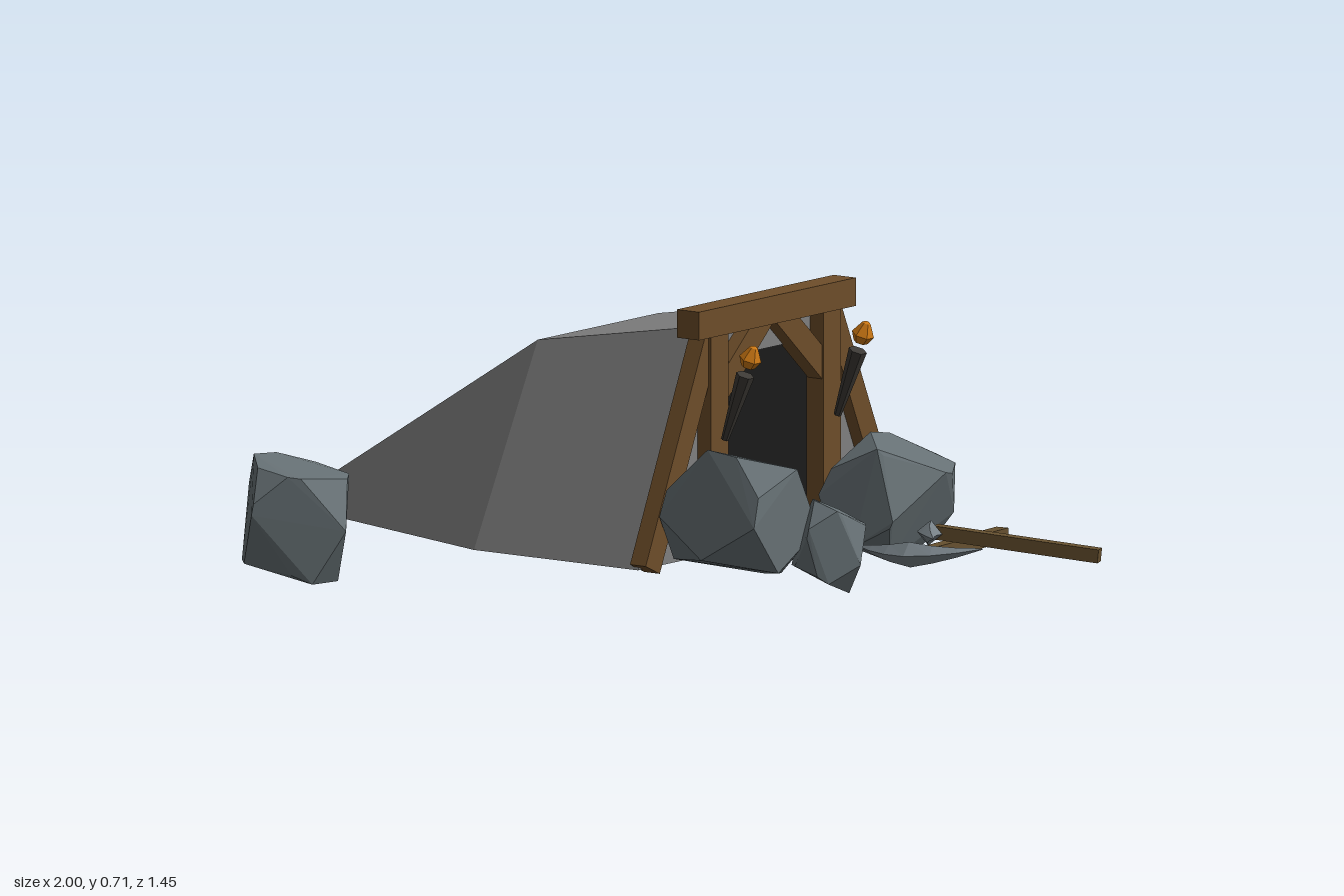
import * as THREE from 'three';
import { ConvexGeometry } from 'three/addons/geometries/ConvexGeometry.js';

const mat = (color, side = THREE.FrontSide) =>
  new THREE.MeshStandardMaterial({ color, side, flatShading: true });
const EARTH = mat(0x808080, THREE.DoubleSide);
const DARK = mat(0x333333, THREE.DoubleSide);
const WOOD = mat(0x6e4e2a);
const HANDLE = mat(0x66502f);
const ROCK = mat(0x667074);
const IRON = mat(0x788288, THREE.DoubleSide);
const CHAR = mat(0x3d3a36);
const FLAME = mat(0xd07a14);
const MID = 0.049; // z of the mine's centre line
const GROUND = 0.115;
const V = (x, y, z) => new THREE.Vector3(x, y, z);

function add(parent, name, geometry, material, x = 0, y = 0, z = 0) {
  const mesh = new THREE.Mesh(geometry, material);
  mesh.name = name;
  mesh.position.set(x, y, z);
  parent.add(mesh);
  return mesh;
}

// Rectangular bar running from a to b
function bar(parent, name, a, b, w, h, material) {
  const mesh = add(parent, name, new THREE.BoxGeometry(w, h, a.distanceTo(b)), material);
  mesh.position.copy(a).lerp(b, 0.5);
  mesh.quaternion.setFromRotationMatrix(new THREE.Matrix4().lookAt(b, a, V(0, 1, 0)));
  return mesh;
}

// Hollow hill, open below: sections from the thin back edge to the entrance
function moundGeometry() {
  const sections = [[-1, GROUND, 0.235, 0.235], [-0.26, 0.58, 0.235, 0.483], [0.22, 0.66, 0.235, 0.483]]
    .map(([x, y, top, bottom]) => [V(x, GROUND, bottom), V(x, y, top), V(x, y, -top), V(x, GROUND, -bottom)]);
  const pos = [];
  for (let i = 0; i < 2; i++) {
    for (let j = 0; j < 3; j++) {
      const [a, b, c, d] = [sections[i][j], sections[i + 1][j], sections[i + 1][j + 1], sections[i][j + 1]];
      for (const p of [a, b, c, a, c, d]) pos.push(p.x, p.y, p.z);
    }
  }
  const g = new THREE.BufferGeometry();
  g.setAttribute('position', new THREE.Float32BufferAttribute(pos, 3));
  g.computeVertexNormals();
  return g;
}

// Boulder: cube with unevenly cut corners, turned and fitted to a given size
function rockGeometry(size, seed) {
  let s = seed * 7919 + 17;
  const rnd = () => (s = (s * 16807) % 2147483647) / 2147483647;
  for (let i = 0; i < 5; i++) rnd();
  const turn = new THREE.Euler(rnd() - 0.5, rnd() * 1.5, rnd() - 0.5);
  const pts = [];
  for (const x of [-1, 1]) for (const y of [-1, 1]) for (const z of [-1, 1]) {
    const cut = () => 1 - (0.45 + rnd() * 0.65);
    const shrink = 0.88 + rnd() * 0.16;
    for (const p of [V(x * cut(), y, z), V(x, y * cut(), z), V(x, y, z * cut())]) {
      pts.push(p.multiplyScalar(shrink).applyEuler(turn));
    }
  }
  const g = new ConvexGeometry(pts);
  g.center();
  const ext = g.boundingBox.getSize(V(0, 0, 0));
  g.scale(size[0] / ext.x, size[1] / ext.y, size[2] / ext.z);
  return g;
}

// Curved pick head, thick in the middle and pointed at both ends
function pickHeadGeometry(a, mid, b) {
  const control = mid.clone().multiplyScalar(2).sub(a.clone().lerp(b, 0.5));
  const curve = new THREE.QuadraticBezierCurve3(a, control, b);
  const steps = 6;
  const g = new THREE.TubeGeometry(curve, steps, 0.03, 4, false);
  const p = g.attributes.position;
  for (let i = 0; i < p.count; i++) {
    const t = Math.floor(i / 5) / steps;
    const c = curve.getPointAt(t);
    const v = V(0, 0, 0).fromBufferAttribute(p, i).sub(c);
    v.multiplyScalar(0.05 + 0.95 * (1 - Math.abs(2 * t - 1))).add(c);
    p.setXYZ(i, v.x, v.y, v.z);
  }
  g.computeVertexNormals();
  return g;
}

export function createModel() {
  const model = new THREE.Group();
  model.name = 'mineEntrance';
  const mine = new THREE.Group();
  mine.name = 'mine';
  mine.position.z = MID;
  model.add(mine);

  // Hill and its front face with the doorway cut out
  add(mine, 'mound', moundGeometry(), EARTH);
  const face = new THREE.Shape([[-0.483, GROUND], [-0.23, GROUND], [-0.23, 0.575], [0.23, 0.575],
    [0.23, GROUND], [0.483, GROUND], [0.235, 0.66], [-0.235, 0.66]].map(([x, y]) => new THREE.Vector2(x, y)));
  add(mine, 'moundFace', new THREE.ShapeGeometry(face), EARTH, 0.22).rotation.y = Math.PI / 2;

  // Dark tunnel behind the doorway: a box without its front side
  const depth = 0.35;
  const tunnel = new THREE.BoxGeometry(depth, 0.575 - GROUND, 0.46);
  tunnel.setIndex([...tunnel.index.array].slice(6));
  add(mine, 'tunnel', tunnel, DARK, 0.22 - depth / 2, (0.575 + GROUND) / 2);

  // Timber frame
  add(mine, 'topBeam', new THREE.BoxGeometry(0.065, 0.067, 0.61), WOOD, 0.232, 0.674);
  for (const s of [1, -1]) {
    add(mine, 'post', new THREE.BoxGeometry(0.05, 0.54, 0.068), WOOD, 0.235, 0.38, s * 0.219);
    bar(mine, 'slantedLeg', V(0.23, 0.65, s * 0.23), V(0.23, 0.117, s * 0.47), 0.046, 0.06, WOOD);
    bar(mine, 'brace', V(0.235, 0.505, s * 0.205), V(0.235, 0.66, s * 0.03), 0.042, 0.06, WOOD);

    // Torch leaning out from the post
    const torch = new THREE.Group();
    torch.name = 'torch';
    torch.position.set(0.275, 0.395, s * 0.219);
    torch.rotation.z = -0.36;
    mine.add(torch);
    add(torch, 'torchHandle', new THREE.CylinderGeometry(0.022, 0.009, 0.17, 6), CHAR, 0, 0.085);
    const flame = [[0, 0], [0.017, 0], [0.027, 0.02], [0.01, 0.05], [0, 0.055]];
    add(torch, 'flame', new THREE.LatheGeometry(flame.map(([x, y]) => new THREE.Vector2(x, y)), 6),
      FLAME, 0, 0.192);
  }

  // Boulders: centre, then size
  [
    [[-0.53, 0.255, -0.575], [0.32, 0.31, 0.31]],
    [[-0.635, 0.16, -0.39], [0.21, 0.18, 0.18]],
    [[-0.75, 0.145, 0.565], [0.32, 0.29, 0.31]],
    [[0.412, 0.252, 0.385], [0.305, 0.31, 0.3]],
    [[0.597, 0.18, 0.287], [0.19, 0.22, 0.19]],
    [[0.375, 0.208, -0.243], [0.27, 0.285, 0.31]],
  ].forEach(([c, size], i) => add(model, 'boulder', rockGeometry(size, i + 1), ROCK, ...c));

  // Two crossed pickaxes: handle ends, then head tip, middle, tip
  [
    [V(0.592, 0.115, -0.39), V(0.637, 0.118, 0.01), V(0.455, 0.125, -0.01), V(0.635, 0.125, 0.02), V(0.79, 0.145, -0.05)],
    [V(0.993, 0.125, -0.235), V(0.625, 0.165, -0.085), V(0.59, 0.14, -0.19), V(0.625, 0.165, -0.065), V(0.72, 0.175, 0.05)],
  ].forEach(([end, top, tipA, mid, tipB]) => {
    const pick = new THREE.Group();
    pick.name = 'pickaxe';
    model.add(pick);
    bar(pick, 'pickHandle', end, top, 0.032, 0.032, HANDLE);
    add(pick, 'pickHead', pickHeadGeometry(tipA, mid, tipB), IRON);
  });
  return model;
}
